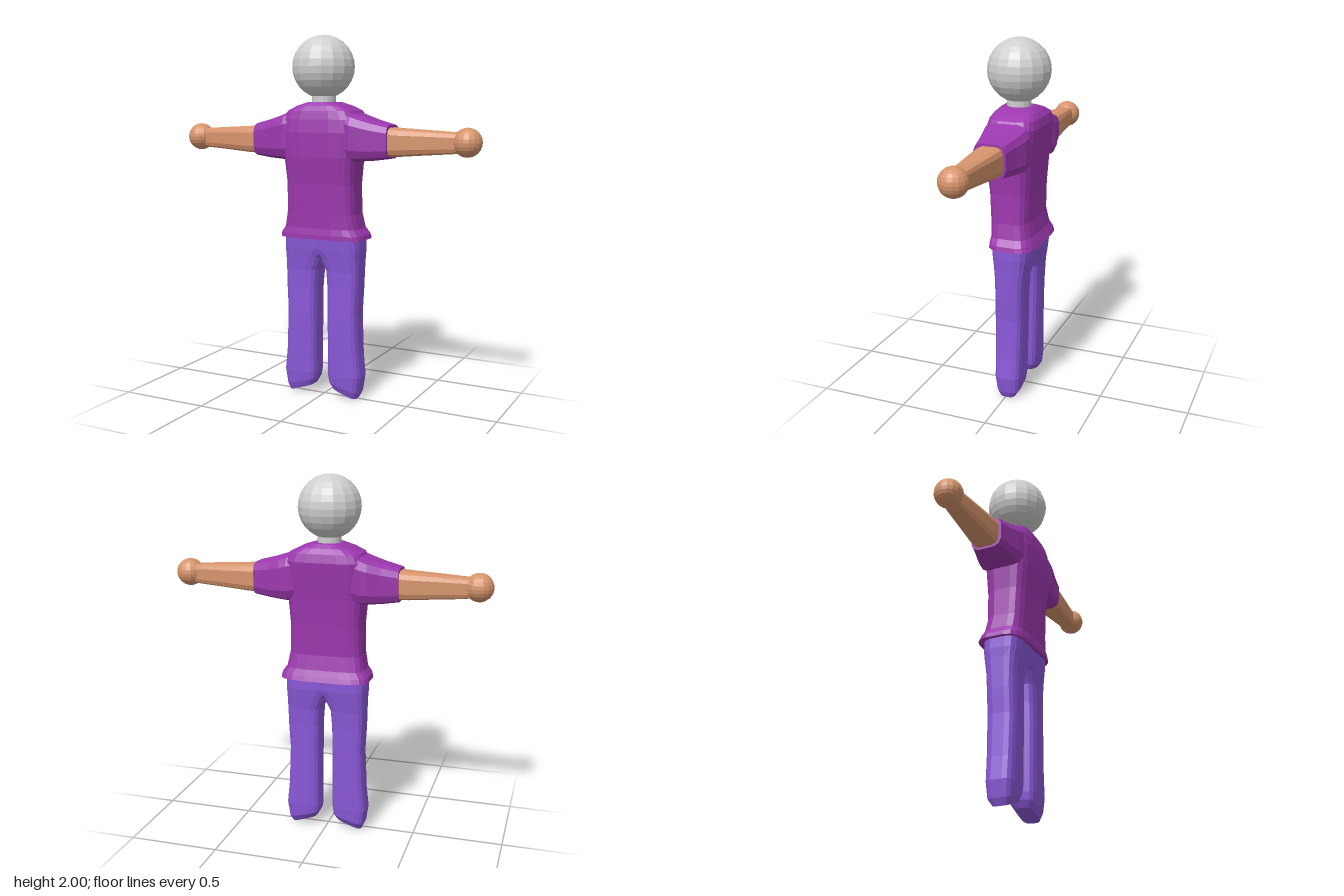
import * as THREE from 'three';

const material = (name, color) => {
  const m = new THREE.MeshStandardMaterial({ color });
  m.name = name;
  m.flatShading = true;
  return m;
};

// Closed loft through rounded-box rings: [t, a0, a1, b0, b1, tilt].
// Along 'y', a is x and b is z; along 'x', a is z and b is y.
function loft(rings, axis, sides = 16, power = 0.6) {
  const pos = [], idx = [];
  const put = (t, a, b) => (axis === 'y' ? pos.push(a, t, b) : pos.push(t, b, a));
  const soft = (v) => Math.sign(v) * Math.pow(Math.abs(v), power);
  for (const [t, a0, a1, b0, b1, tilt = 0] of rings) {
    for (let j = 0; j < sides; j++) {
      const q = ((j + 0.5) / sides) * Math.PI * 2;
      const c = soft(Math.cos(q)), s = soft(Math.sin(q));
      put(t + tilt * c, (a0 + a1) / 2 + (c * (a1 - a0)) / 2, (b0 + b1) / 2 + (s * (b1 - b0)) / 2);
    }
  }
  const last = rings.length - 1;
  for (let i = 0; i < last; i++) {
    for (let j = 0; j < sides; j++) {
      const k = (j + 1) % sides;
      const p = i * sides + j, q = i * sides + k;
      idx.push(p, p + sides, q, q, p + sides, q + sides);
    }
  }
  // End caps
  for (const i of [0, last]) {
    const [t, a0, a1, b0, b1] = rings[i];
    const centre = pos.length / 3;
    put(t, (a0 + a1) / 2, (b0 + b1) / 2);
    for (let j = 0; j < sides; j++) {
      const p = i * sides + j, q = i * sides + ((j + 1) % sides);
      if (i === 0) idx.push(centre, p, q);
      else idx.push(centre, q, p);
    }
  }
  const g = new THREE.BufferGeometry();
  g.setAttribute('position', new THREE.Float32BufferAttribute(pos, 3));
  g.setIndex(idx);
  g.computeVertexNormals();
  return g;
}

const mirrorAlongX = (rings) => rings.map(([t, ...r]) => [-t, ...r]).reverse();
const mirrorAcrossX = (rings) =>
  rings.map(([t, a0, a1, b0, b1, tilt = 0]) => [t, -a1, -a0, b0, b1, -tilt]);

export function createModel() {
  const model = new THREE.Group();
  model.name = 'figure';
  const grey = material('grey head', 0xcfcfcf);
  const shirt = material('purple shirt', 0x9c38ae);
  const denim = material('violet trousers', 0x8a58d8);
  const skin = material('skin', 0xd6946c);

  const add = (name, geometry, mat, x = 0, y = 0, z = 0) => {
    const mesh = new THREE.Mesh(geometry, mat);
    mesh.name = name;
    mesh.position.set(x, y, z);
    model.add(mesh);
    return mesh;
  };

  // Head and neck
  add('head', new THREE.SphereGeometry(0.17, 16, 14), grey, -0.007, 1.83, 0);
  add('neck', new THREE.CylinderGeometry(0.065, 0.065, 0.14, 16), grey, -0.005, 1.65, 0);

  // Shirt body with flared hem
  add('shirtBody', loft([
    [0.9, -0.235, 0.235, -0.14, 0.1],
    [0.9, -0.25, 0.25, -0.155, 0.11],
    [0.925, -0.245, 0.245, -0.145, 0.11],
    [0.96, -0.22, 0.22, -0.13, 0.105],
    [1.04, -0.205, 0.205, -0.115, 0.108],
    [1.2, -0.2, 0.2, -0.12, 0.117],
    [1.35, -0.212, 0.212, -0.13, 0.135],
    [1.48, -0.225, 0.225, -0.145, 0.138],
    [1.55, -0.222, 0.222, -0.152, 0.13],
    [1.595, -0.195, 0.195, -0.142, 0.12],
    [1.622, -0.14, 0.14, -0.12, 0.105],
    [1.642, -0.075, 0.075, -0.095, 0.085],
  ], 'y', 20, 0.5), shirt);

  // Sleeves, bare arms and hands
  const sleeve = [
    [0.12, -0.12, 0.11, 1.34, 1.605],
    [0.2, -0.14, 0.125, 1.325, 1.585],
    [0.24, -0.135, 0.12, 1.328, 1.57],
    [0.31, -0.112, 0.105, 1.333, 1.548],
    [0.4, -0.09, 0.09, 1.345, 1.525],
  ];
  const arm = [
    [0.36, -0.078, 0.075, 1.355, 1.515],
    [0.45, -0.075, 0.073, 1.358, 1.508],
    [0.6, -0.063, 0.06, 1.37, 1.5],
    [0.74, -0.052, 0.046, 1.38, 1.492],
    [0.8, -0.045, 0.04, 1.39, 1.485],
  ];

  // Legs overlap at the hips and part below the crotch
  const leg = [
    [0.027, 0.06, 0.205, -0.055, 0.045, -0.025],
    [0.065, 0.04, 0.222, -0.08, 0.06, -0.025],
    [0.13, 0.035, 0.235, -0.086, 0.067],
    [0.25, 0.035, 0.222, -0.088, 0.068],
    [0.48, 0.035, 0.212, -0.092, 0.072],
    [0.62, 0.033, 0.22, -0.094, 0.07],
    [0.72, 0.025, 0.222, -0.1, 0.072],
    [0.79, -0.01, 0.224, -0.112, 0.08],
    [0.84, -0.06, 0.228, -0.12, 0.088],
    [0.93, -0.08, 0.226, -0.122, 0.095],
  ];

  for (const side of [1, -1]) {
    const label = side > 0 ? 'left' : 'right';
    const along = (r) => (side > 0 ? r : mirrorAlongX(r));
    add(label + 'Sleeve', loft(along(sleeve), 'x', 12, 0.5), shirt);
    add(label + 'Arm', loft(along(arm), 'x', 12, 0.5), skin);
    add(label + 'Hand', new THREE.SphereGeometry(0.076, 16, 12), skin, side * 0.81, 1.44, 0);
    add(label + 'Leg', loft(side > 0 ? leg : mirrorAcrossX(leg), 'y', 16, 0.55), denim);
  }
  return model;
}
